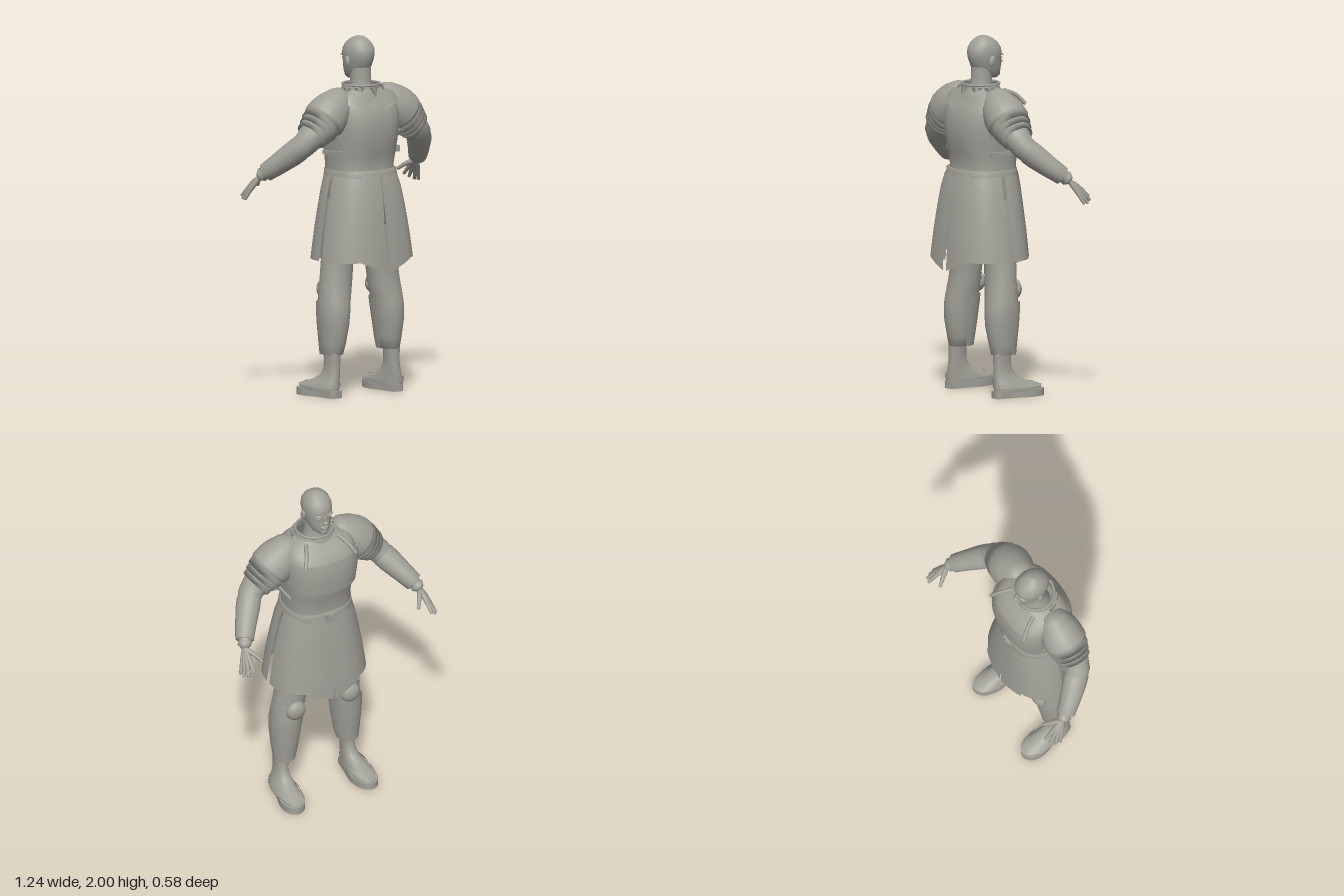
import * as THREE from 'three';

const steel = new THREE.MeshStandardMaterial({ color: 0xa09f97, side: THREE.DoubleSide });
steel.name = 'steel grey';
const V = (x, y, z) => new THREE.Vector3(x, y, z);
const rad = THREE.MathUtils.degToRad;

function add(parent, name, geometry) {
  const mesh = new THREE.Mesh(geometry, steel);
  mesh.name = name;
  parent.add(mesh);
  return mesh;
}

// Skin a grid of point rows; closed rows wrap round.
function skin(rows, closed) {
  const n = rows[0].length, pos = [], idx = [];
  rows.forEach(r => r.forEach(p => pos.push(p.x, p.y, p.z)));
  for (let i = 0; i < rows.length - 1; i++) {
    for (let j = 0; j < (closed ? n : n - 1); j++) {
      const a = i * n + j, b = i * n + (j + 1) % n, c = a + n, d = b + n;
      idx.push(a, c, b, b, c, d);
    }
  }
  const g = new THREE.BufferGeometry();
  g.setAttribute('position', new THREE.Float32BufferAttribute(pos, 3));
  g.setIndex(idx);
  g.computeVertexNormals();
  return g;
}

// Loft through level rings [y, x0, x1, z0, z1]; an angle range leaves an open plate.
// Angles run from +x (0) to +z (90, the back); the front is at 270.
function loft(rings, { a0 = 0, a1 = 360, power = 2.3, off = 0, warp = null, seg = 36 } = {}) {
  const closed = a1 - a0 === 360;
  const bend = c => Math.sign(c) * Math.abs(c) ** (2 / power);
  const rows = rings.map(([y, x0, x1, z0, z1], k) => {
    const row = [];
    for (let j = 0; j < (closed ? seg : seg + 1); j++) {
      const a = rad(a0 + (a1 - a0) * j / seg);
      const p = V((x0 + x1) / 2 + ((x1 - x0) / 2 + off) * bend(Math.cos(a)), y,
        (z0 + z1) / 2 + ((z1 - z0) / 2 + off) * bend(Math.sin(a)));
      if (warp) warp(p, k / (rings.length - 1));
      row.push(p);
    }
    return row;
  });
  return skin(rows, closed);
}

// Round limb along points [x, y, z, radius], closed at both ends.
function limb(pts, seg = 20, cap = true) {
  const c = pts.map(p => V(p[0], p[1], p[2])), rows = [];
  c.forEach((p, i) => {
    const t = c[Math.min(i + 1, c.length - 1)].clone().sub(c[Math.max(i - 1, 0)]).normalize();
    const u = V(0, 0, 1).cross(t).normalize(), w = t.clone().cross(u);
    const ring = (r, shift) => Array.from({ length: seg }, (_, j) => {
      const a = -j / seg * Math.PI * 2;
      return p.clone().addScaledVector(t, shift).addScaledVector(u, r * Math.cos(a)).addScaledVector(w, r * Math.sin(a));
    });
    const r = pts[i][3];
    if (cap && i === 0) rows.push(ring(0, -r * 0.6), ring(r * 0.7, -r * 0.4));
    rows.push(ring(r, 0));
    if (cap && i === c.length - 1) rows.push(ring(r * 0.7, r * 0.4), ring(0, r * 0.6));
  });
  return skin(rows, true);
}

function blob(parent, name, p, s) {
  const m = add(parent, name, new THREE.SphereGeometry(1, 20, 14));
  m.position.set(...p);
  m.scale.set(...s);
  return m;
}

function box(parent, name, p, s) {
  const m = add(parent, name, new THREE.BoxGeometry(...s));
  m.position.set(...p);
  return m;
}

const sym = rows => rows.map(([y, w, z0, z1]) => [y, -w, w, z0, z1]);

function buildHead(g) {
  add(g, 'head', loft(sym([
    [1.757, 0.001, -0.05, -0.03], [1.76, 0.03, -0.066, 0], [1.775, 0.046, -0.08, 0.03], [1.8, 0.06, -0.083, 0.07],
    [1.83, 0.069, -0.085, 0.094], [1.87, 0.077, -0.082, 0.109], [1.9, 0.081, -0.087, 0.115],
    [1.93, 0.079, -0.081, 0.112], [1.96, 0.068, -0.06, 0.094], [1.982, 0.048, -0.032, 0.068],
    [1.995, 0.026, -0.003, 0.043], [2, 0.001, 0.017, 0.02]]), { power: 2.1 }));
  add(g, 'neck', loft(sym([[1.64, 0.085, -0.05, 0.12], [1.7, 0.063, -0.025, 0.1],
    [1.76, 0.058, -0.025, 0.093], [1.83, 0.058, -0.02, 0.092]]), { power: 2 }));
  blob(g, 'noseTip', [0, 1.846, -0.093], [0.016, 0.012, 0.015]);
  blob(g, 'noseBridge', [0, 1.866, -0.085], [0.009, 0.026, 0.012]);
  blob(g, 'upperLip', [0, 1.814, -0.081], [0.024, 0.006, 0.011]);
  blob(g, 'lowerLip', [0, 1.803, -0.08], [0.02, 0.007, 0.011]);
  blob(g, 'chin', [0, 1.778, -0.072], [0.023, 0.014, 0.014]);
  for (const s of [-1, 1]) {
    blob(g, 'brow', [s * 0.033, 1.89, -0.076], [0.025, 0.007, 0.012]).rotation.y = -s * 0.3;
    blob(g, 'eye', [s * 0.032, 1.872, -0.073], [0.014, 0.006, 0.008]);
    blob(g, 'ear', [s * 0.082, 1.862, 0.018], [0.011, 0.031, 0.019]).rotation.x = -0.2;
  }
}

function buildTorso(g) {
  const body = sym([[1.2, 0.19, -0.13, 0.195], [1.28, 0.187, -0.135, 0.18], [1.35, 0.192, -0.14, 0.195],
    [1.42, 0.2, -0.165, 0.21], [1.5, 0.21, -0.172, 0.217], [1.57, 0.214, -0.17, 0.21],
    [1.62, 0.21, -0.16, 0.19], [1.66, 0.2, -0.115, 0.165], [1.69, 0.175, -0.07, 0.15], [1.715, 0.1, -0.05, 0.13]]);
  add(g, 'torso', loft(body, { power: 2.6 }));
  add(g, 'breastplate', loft(body.slice(3, 7), { a0: 200, a1: 340, power: 2.6, off: 0.01 }));
  // Shoulder yoke with a pointed lower edge on the back
  add(g, 'backYoke', loft(body.slice(6).reverse(), { a0: 35, a1: 145, power: 2.6, off: 0.008,
    warp: (p, t) => { p.y -= t * (0.03 - 0.25 * Math.abs(p.x)); } }));
  // Standing collar with a rolled rim
  add(g, 'collar', loft(sym([[1.69, 0.12, -0.07, 0.145], [1.735, 0.108, -0.058, 0.138]]), { power: 2 }));
  const rim = add(g, 'collarRim', new THREE.TorusGeometry(0.104, 0.007, 8, 40));
  rim.rotation.x = Math.PI / 2;
  rim.position.set(0, 1.733, 0.04);
  for (const a of [15, 50, 90, 130, 165]) {
    const p = add(g, 'collarPoint', new THREE.ConeGeometry(0.028, 0.06, 4));
    p.scale.z = 0.3;
    p.position.set(Math.cos(rad(a)) * 0.135, 1.695, 0.04 + Math.sin(rad(a)) * 0.12);
    p.rotation.set(Math.PI - 0.5, rad(a - 90) * -1, 0, 'YXZ');
    p.rotation.x = Math.PI - 0.4;
  }
  for (const s of [-1, 1]) {
    add(g, 'shoulderStrap', new THREE.TubeGeometry(new THREE.CatmullRomCurve3([
      V(s * 0.1, 1.7, -0.045), V(s * 0.13, 1.672, -0.105), V(s * 0.16, 1.62, -0.152)]), 12, 0.011, 8));
    for (const y of [1.36, 1.47]) {
      box(g, 'sideStrap', [s * 0.2, y, 0.03], [0.014, 0.022, 0.15]);
      box(g, 'sideBuckle', [s * 0.205, y, 0.1], [0.022, 0.034, 0.03]);
    }
  }
  add(g, 'belt', loft(sym([[1.2, 0.19, -0.13, 0.2], [1.2, 0.203, -0.148, 0.212],
    [1.262, 0.198, -0.144, 0.207], [1.265, 0.185, -0.13, 0.19]]), { power: 2.4 }));
  box(g, 'beltBuckle', [0, 1.232, -0.15], [0.065, 0.055, 0.014]);
  box(g, 'beltBuckleBar', [0, 1.232, -0.158], [0.02, 0.04, 0.01]);
}

function buildSkirt(g) {
  const rings = sym([[1.24, 0.198, -0.142, 0.205], [1.16, 0.222, -0.152, 0.226], [1.05, 0.245, -0.163, 0.243],
    [0.92, 0.268, -0.176, 0.26], [0.82, 0.283, -0.184, 0.27], [0.765, 0.29, -0.188, 0.275]]);
  const plate = (name, a0, a1, off, point) => add(g, name, loft(rings, { a0, a1, off, power: 2.4, seg: 20,
    warp: (p, t) => { p.y -= t ** 3 * point * (1 - Math.abs(p.x) / 0.17); } }));
  for (const [a0, a1] of [[2, 89.5], [90.5, 178], [182, 270], [270, 358]]) plate('skirtPanel', a0, a1, 0, 0);
  for (const [a0, a1] of [[60, 88.5], [91.5, 120]]) plate('backTasset', a0, a1, 0.012, 0.065);
  for (const [a0, a1] of [[241, 269.6], [270.4, 299]]) plate('frontTasset', a0, a1, 0.01, 0.065);
  add(g, 'hips', loft(sym([[0.88, 0.05, -0.03, 0.08], [0.95, 0.17, -0.1, 0.15],
    [1.1, 0.19, -0.12, 0.18], [1.22, 0.18, -0.12, 0.18]])));
}

function buildLeg(g) {
  const leg = [[0.235, 0.18, 0.24, 0, 0.08], [0.24, 0.145, 0.255, -0.036, 0.1], [0.3, 0.13, 0.263, -0.042, 0.112],
    [0.4, 0.116, 0.271, -0.055, 0.132], [0.48, 0.104, 0.275, -0.062, 0.132], [0.53, 0.098, 0.272, -0.064, 0.125],
    [0.62, 0.078, 0.262, -0.06, 0.11], [0.76, 0.062, 0.242, -0.07, 0.105], [0.95, 0.02, 0.22, -0.09, 0.13],
    [1.1, 0.02, 0.19, -0.09, 0.14]];
  add(g, 'leg', loft(leg, { power: 2.1 }));
  add(g, 'greave', loft(leg.slice(1, 6), { a0: 175, a1: 350, off: 0.008, power: 2.1 }));
  add(g, 'kneeBand', loft([[0.615, 0.079, 0.263, -0.06, 0.11], [0.628, 0.076, 0.261, -0.06, 0.11]],
    { a0: 180, a1: 360, off: 0.006, power: 2.1 }));
  blob(g, 'kneeGuard', [0.172, 0.595, -0.062], [0.058, 0.058, 0.037]);
  // Shoe, from sole to ankle
  add(g, 'shoe', loft([[0.035, 0.165, 0.288, -0.2, 0.1], [0.055, 0.163, 0.29, -0.2, 0.102],
    [0.072, 0.168, 0.282, -0.165, 0.102], [0.092, 0.172, 0.268, -0.095, 0.101], [0.12, 0.174, 0.255, -0.04, 0.1],
    [0.16, 0.176, 0.247, -0.012, 0.097], [0.21, 0.172, 0.247, -0.006, 0.097], [0.25, 0.168, 0.25, -0.01, 0.098]]));
  add(g, 'shoeStrap', loft([[0.058, 0.162, 0.29, -0.2, 0.1], [0.078, 0.166, 0.28, -0.145, 0.1]],
    { off: 0.006 }));
  const sole = new THREE.Shape().setFromPoints(new THREE.SplineCurve([[0.185, -0.1], [0.25, -0.1], [0.265, 0],
    [0.293, 0.1], [0.285, 0.175], [0.24, 0.211], [0.185, 0.185], [0.158, 0.1], [0.17, 0], [0.185, -0.1]]
    .map(p => new THREE.Vector2(...p))).getPoints(40));
  add(g, 'sole', new THREE.ExtrudeGeometry(sole, { depth: 0.04, bevelEnabled: false })).rotation.x = -Math.PI / 2;
}

function buildArm(g) {
  add(g, 'arm', limb([[0.2, 1.61, 0.05, 0.09], [0.3, 1.53, 0.052, 0.084], [0.36, 1.47, 0.052, 0.077],
    [0.405, 1.425, 0.04, 0.069], [0.45, 1.37, -0.01, 0.062], [0.5, 1.31, -0.08, 0.05], [0.552, 1.245, -0.16, 0.032]]));
  add(g, 'bracer', limb([[0.424, 1.402, 0.02, 0.069], [0.45, 1.37, -0.012, 0.068], [0.5, 1.31, -0.078, 0.059],
    [0.537, 1.265, -0.132, 0.052], [0.54, 1.262, -0.136, 0.034]], 20, false));
  add(g, 'wristBand', limb([[0.543, 1.257, -0.145, 0.039], [0.55, 1.248, -0.156, 0.039]], 20, false));
  // Pauldron dome and overlapping lames along the upper arm
  const along = (t, r) => [0.2 + 0.155 * t, 1.62 - 0.145 * t, 0.05, r];
  add(g, 'pauldron', limb([[-0.3, 0.08], [0, 0.108], [0.22, 0.119], [0.45, 0.122], [0.52, 0.119]].map(a => along(...a))));
  [[0.48, 0.72, 0.114], [0.7, 0.88, 0.104], [0.86, 1.04, 0.094]].forEach(([a, b, r]) =>
    add(g, 'pauldronLame', limb([along(a, r - 0.02), along(a, r), along(b, r - 0.003), along(b, r - 0.025)]
      .map((p, i) => (p[0] += i * 0.0008, p)), 28, false)));
  // Palm oriented along the fingers and their spread
  const fwd = V(0.045, -0.12, -0.11).normalize(), spread = V(0.055, -0.04, 0.075).normalize();
  const normal = fwd.clone().cross(spread).normalize();
  const palm = blob(g, 'palm', [0.568, 1.202, -0.196], [0.036, 0.052, 0.017]);
  palm.quaternion.setFromRotationMatrix(new THREE.Matrix4().makeBasis(normal.clone().cross(fwd).negate(), fwd, normal.clone().negate()));
  const wrist = V(0.556, 1.232, -0.168);
  [['thumb', 0.492, 1.175, -0.262], ['indexFinger', 0.563, 1.137, -0.293], ['middleFinger', 0.593, 1.118, -0.282],
    ['ringFinger', 0.61, 1.106, -0.254], ['littleFinger', 0.616, 1.106, -0.224]].forEach(([name, ...tip]) => {
    const at = (t, r) => { const p = wrist.clone().lerp(V(...tip), t); return [p.x, p.y + 0.03 * t * (1 - t), p.z, r]; };
    add(g, name, limb([at(0, 0.016), at(0.4, 0.015), at(0.65, 0.012), at(0.95, 0.009)], 10));
  });
}

export function createModel() {
  const model = new THREE.Group();
  model.name = 'armouredFigure';
  const part = (name, build, side = 1) => {
    const g = new THREE.Group();
    g.name = name;
    g.scale.x = side;
    build(g);
    model.add(g);
  };
  part('headAndNeck', buildHead);
  part('cuirass', buildTorso);
  part('armouredSkirt', buildSkirt);
  // The figure faces -z, so its sides are named by axis
  for (const s of [1, -1]) {
    part(s > 0 ? 'legPlusX' : 'legMinusX', buildLeg, s);
    part(s > 0 ? 'armPlusX' : 'armMinusX', buildArm, s);
  }
  return model;
}
